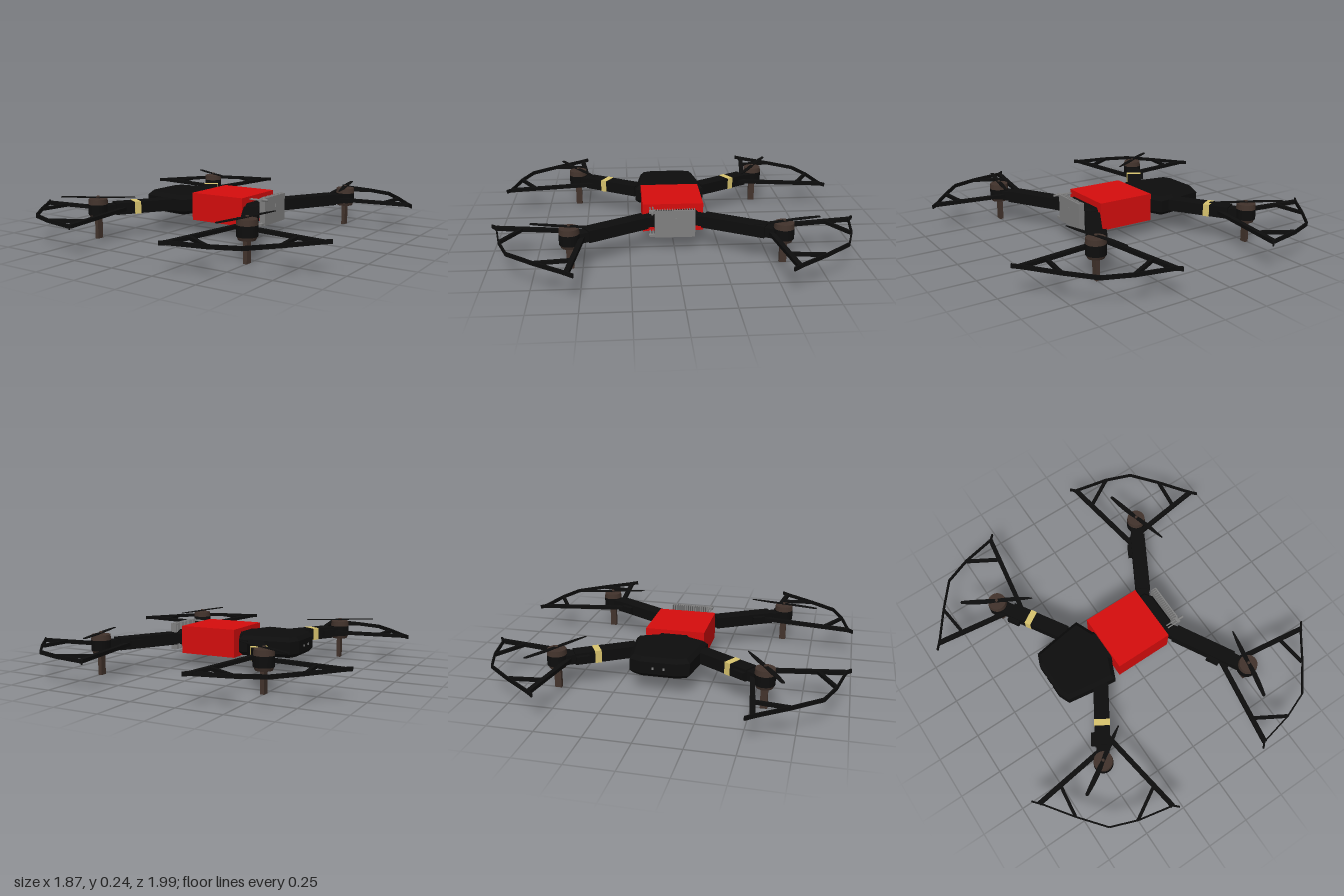
import * as THREE from 'three';

const material = (name, color) => {
  const m = new THREE.MeshStandardMaterial({ color });
  m.name = name;
  return m;
};

export function createModel() {
  const black = material('black plastic', 0x0d0d0d);
  const red = material('red casing', 0xd60d0d);
  const brown = material('brown metal', 0x42332c);
  const grey = material('grey metal', 0x808080);
  const yellow = material('yellow tape', 0xd9c46e);

  const drone = new THREE.Group();
  drone.name = 'quadcopter';

  const add = (parent, name, geometry, mat, x = 0, y = 0, z = 0) => {
    const mesh = new THREE.Mesh(geometry, mat);
    mesh.name = name;
    mesh.position.set(x, y, z);
    parent.add(mesh);
    return mesh;
  };
  const box = (parent, name, mat, w, h, d, x, y, z) =>
    add(parent, name, new THREE.BoxGeometry(w, h, d), mat, x, y, z);
  // horizontal bar between two plan points [x, z]
  const bar = (parent, name, mat, a, b, width, height, y) => {
    const dx = b[0] - a[0], dz = b[1] - a[1];
    const mesh = box(parent, name, mat, Math.hypot(dx, dz), height, width,
      (a[0] + b[0]) / 2, y, (a[1] + b[1]) / 2);
    mesh.rotation.y = -Math.atan2(dz, dx);
    return mesh;
  };
  // bevelled slab from a plan outline
  const slab = (parent, name, mat, outline, y0, y1, bevel) => {
    const shape = new THREE.Shape(outline.map(([x, z]) => new THREE.Vector2(x, -z)));
    const g = new THREE.ExtrudeGeometry(shape, {
      depth: y1 - y0 - 2 * bevel, bevelEnabled: bevel > 0, bevelSize: bevel,
      bevelThickness: bevel, bevelOffset: -bevel, bevelSegments: 1, curveSegments: 8,
    });
    g.rotateX(-Math.PI / 2);
    return add(parent, name, g, mat, 0, y0 + bevel, 0);
  };

  // central body
  box(drone, 'redCasing', red, 0.34, 0.16, 0.34, 0.045, 0.16, 0.004);
  const half = [[-0.1, 0.09], [-0.13, 0.1], [-0.175, 0.205], [-0.27, 0.195], [-0.465, 0.165], [-0.492, 0.1]];
  const mirrored = half.map(([x, z]) => [x, -z]).reverse();
  slab(drone, 'noseShell', black, [...half, ...mirrored], 0.105, 0.217, 0.022);
  slab(drone, 'rearChassis', black,
    [[0.1, 0.14], [0.26, 0.14], [0.29, 0.09], [0.29, -0.09], [0.26, -0.135], [0.1, -0.135]], 0.122, 0.205, 0.012);
  for (const s of [-1, 1]) box(drone, 'nosePort', grey, 0.006, 0.012, 0.012, -0.492, 0.16, s * 0.03);

  // finned panel with connectors
  const panel = new THREE.Group();
  panel.name = 'coolingPanel';
  drone.add(panel);
  box(panel, 'panelPlate', grey, 0.008, 0.156, 0.222, 0.321, 0.163, 0);
  for (let i = 0; i < 17; i++) {
    box(panel, 'coolingFin', grey, 0.028, 0.156, 0.004, 0.304, 0.163, -0.109 + i * 0.01362);
  }
  box(panel, 'panelScrew', grey, 0.006, 0.02, 0.008, 0.327, 0.185, -0.005);
  for (const y of [0.095, 0.232]) {
    for (const z of [0.118, 0.134]) {
      const pin = add(panel, 'connector', new THREE.CylinderGeometry(0.004, 0.004, 0.08, 8), grey, 0.28, y, z);
      pin.rotation.z = Math.PI / 2;
    }
    box(panel, 'connectorBlock', grey, 0.02, 0.014, 0.035, 0.312, y, 0.125);
  }
  const plug = add(panel, 'connectorPlug', new THREE.CylinderGeometry(0.007, 0.007, 0.04, 10), grey, 0.332, 0.234, 0.125);
  plug.rotation.z = Math.PI / 2;

  // propeller outline along +x, long blade first
  const blade = new THREE.Shape();
  blade.moveTo(0, 0.01);
  blade.quadraticCurveTo(0.08, 0.024, 0.205, 0.01);
  blade.quadraticCurveTo(0.215, 0, 0.205, -0.008);
  blade.quadraticCurveTo(0.09, -0.014, 0, -0.01);
  blade.quadraticCurveTo(-0.08, -0.024, -0.208, -0.009);
  blade.lineTo(-0.21, -0.003);
  blade.quadraticCurveTo(-0.09, 0.012, 0, 0.01);
  const propGeometry = new THREE.ExtrudeGeometry(blade, { depth: 0.004, bevelEnabled: false, curveSegments: 8 });
  propGeometry.rotateX(-Math.PI / 2);

  // four arms, each with motor, leg, propeller and guard
  for (const sx of [-1, 1]) for (const sz of [-1, 1]) {
    const arm = new THREE.Group();
    arm.name = `${sx > 0 ? 'left' : 'right'}${sz > 0 ? 'Front' : 'Rear'}Arm`;
    drone.add(arm);
    const p = (x, z) => [sx * x, sz * z];
    const hub = p(0.495, 0.565);
    const root = sx > 0 ? p(0.235, 0.1) : p(0.225, 0.125);
    const at = (t) => [root[0] + (hub[0] - root[0]) * t, root[1] + (hub[1] - root[1]) * t];

    bar(arm, 'armBeam', black, root, hub, 0.07, 0.054, 0.163);
    bar(arm, 'armSleeve', black, at(0.14), at(0.82), 0.085, 0.066, 0.165);
    const clip = bar(arm, 'armClip', black, at(0.62), at(0.76), 0.035, 0.04, 0.165);
    clip.position.x -= 0.055;
    if (sx < 0) bar(arm, 'tapeBand', yellow, at(0.54), at(0.61), 0.089, 0.07, 0.165);

    // motor
    const disc = (name, r0, r1, y0, y1, mat) =>
      add(arm, name, new THREE.CylinderGeometry(r1, r0, y1 - y0, 24), mat, hub[0], (y0 + y1) / 2, hub[1]);
    disc('motorBase', 0.045, 0.052, 0.12, 0.138, brown);
    disc('motorHousing', 0.055, 0.055, 0.138, 0.196, black);
    disc('motorCap', 0.055, 0.052, 0.196, 0.226, brown);
    disc('motorShaft', 0.01, 0.008, 0.226, 0.242, brown);
    box(arm, 'landingLeg', brown, 0.022, 0.13, 0.038, hub[0], 0.065, hub[1]);

    // propeller
    const [dx, dz] = sx < 0 ? [-0.175, 0.105 * sz] : [-0.047, 0.205 * sz];
    const prop = add(arm, 'propeller', propGeometry, black, hub[0], 0.233, hub[1]);
    prop.rotation.y = -Math.atan2(dz, dx);

    // guard struts, braces and thin rim
    const guard = new THREE.Group();
    guard.name = 'propellerGuard';
    arm.add(guard);
    bar(guard, 'guardStrut', black, p(0.39, 0.487), p(0.905, 0.556), 0.026, 0.02, 0.161);
    bar(guard, 'guardStrut', black, p(0.397, 0.435), p(0.313, 0.97), 0.026, 0.02, 0.161);
    bar(guard, 'guardBrace', black, p(0.757, 0.535), p(0.779, 0.72), 0.018, 0.018, 0.161);
    bar(guard, 'guardBrace', black, p(0.345, 0.828), p(0.51, 0.925), 0.018, 0.018, 0.161);
    const rim = [[0.933, 0.522], [0.893, 0.568], [0.779, 0.725], [0.66, 0.87],
      [0.51, 0.927], [0.312, 0.968], [0.285, 0.994]];
    for (let i = 1; i < rim.length; i++) {
      bar(guard, 'guardRim', black, p(...rim[i - 1]), p(...rim[i]), 0.008, 0.022, 0.161);
    }
  }
  return drone;
}
